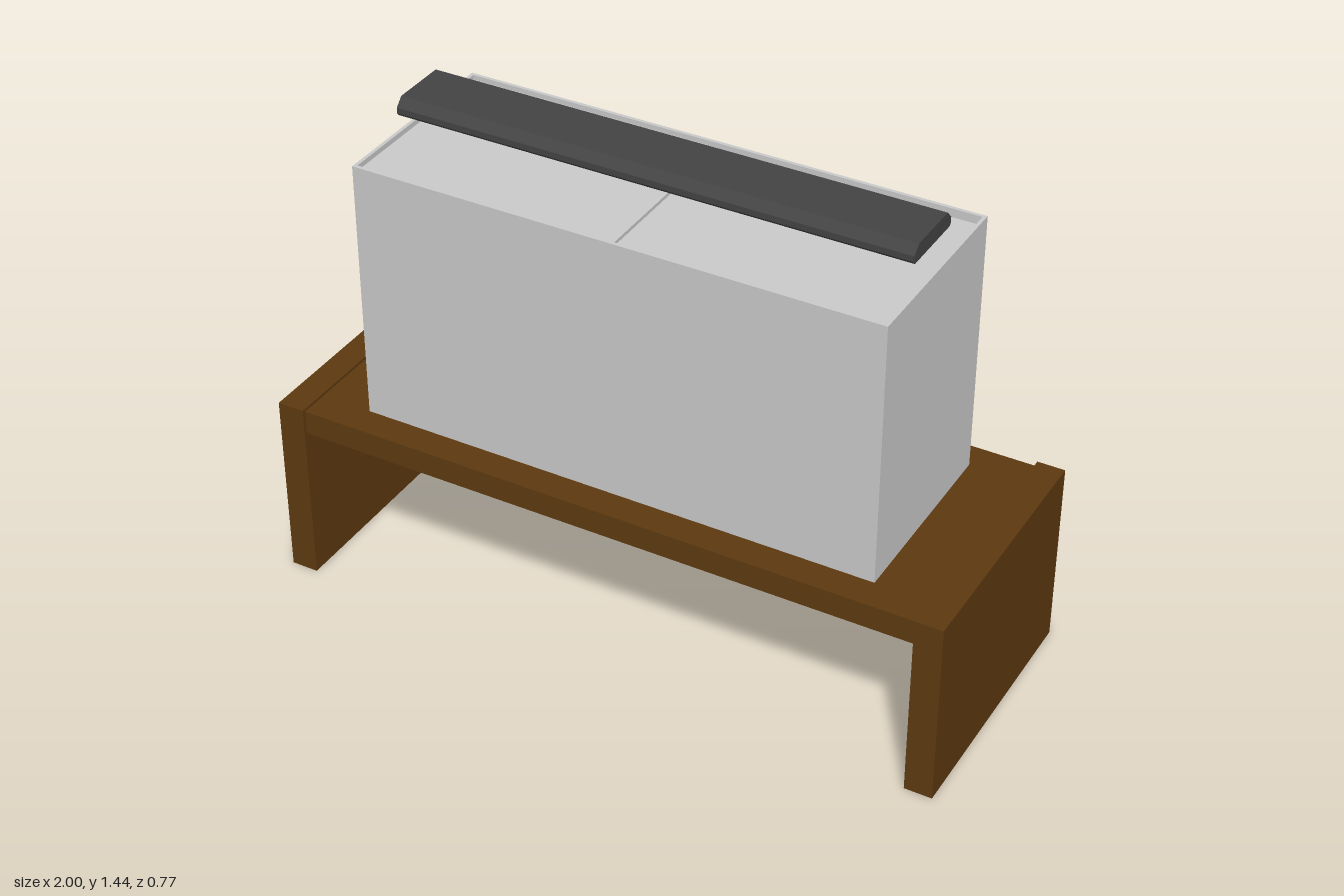
import * as THREE from 'three';

export function createModel() {
  const model = new THREE.Group();
  const wood = new THREE.MeshStandardMaterial({ color: 0x5e3a10 });
  const grey = new THREE.MeshStandardMaterial({ color: 0xcccccc });
  const dark = new THREE.MeshStandardMaterial({ color: 0x444444 });
  const black = new THREE.MeshStandardMaterial({ color: 0x111111 });

  // Box given by its lower and upper corners
  function box(parent, name, material, [x0, y0, z0], [x1, y1, z1]) {
    const mesh = new THREE.Mesh(new THREE.BoxGeometry(x1 - x0, y1 - y0, z1 - z0), material);
    mesh.position.set((x0 + x1) / 2, (y0 + y1) / 2, (z0 + z1) / 2);
    mesh.name = name;
    parent.add(mesh);
    return mesh;
  }
  function group(name) {
    const g = new THREE.Group();
    g.name = name;
    model.add(g);
    return g;
  }

  // Bench: a thick board between two upright side panels
  const bench = group('bench');
  box(bench, 'benchTop', wood, [-0.92, 0.475, -0.373], [0.92, 0.547, 0.373]);
  box(bench, 'rightSidePanel', wood, [-1, 0, -0.383], [-0.92, 0.555, 0.383]);
  box(bench, 'leftSidePanel', wood, [0.92, 0, -0.383], [1, 0.555, 0.383]);

  // Glass tank: floor and four thin panes, open at the top
  const tank = group('tank');
  const X = 0.765, Z = 0.288, T = 0.01, Y0 = 0.55, Y1 = 1.323;
  box(tank, 'tankFloor', grey, [-X, Y0, -Z], [X, Y0 + T, Z]);
  for (const s of [-1, 1]) {
    const end = s * (X - T / 2), face = s * (Z - T / 2);
    box(tank, s < 0 ? 'rightPane' : 'leftPane', grey,
      [end - T / 2, Y0 + T, -Z], [end + T / 2, Y1, Z]);
    box(tank, s < 0 ? 'backPane' : 'frontPane', grey,
      [-X + T, Y0 + T, face - T / 2], [X - T, Y1, face + T / 2]);
    // Runner that carries the sliding covers
    const rail = s * (Z - T - 0.012);
    box(tank, s < 0 ? 'backRunner' : 'frontRunner', grey,
      [-0.65, 1.279, rail - 0.012], [0.65, 1.289, rail + 0.012]);
  }

  // Two sliding covers, one a step above the other
  box(tank, 'lowerCover', grey, [-0.02, 1.289, -0.276], [0.753, 1.299, 0.268]);
  box(tank, 'upperCover', grey, [-0.753, 1.3, -0.276], [0, 1.31, 0.268]);

  // Lamp: bevelled housing, hollow underneath, closed by end caps
  const lamp = group('lamp');
  const outer = [[-0.1, 1.388], [-0.105, 1.395], [-0.105, 1.412], [-0.082, 1.436],
    [0.082, 1.436], [0.105, 1.412], [0.105, 1.395], [0.1, 1.388]];
  const hollow = [[0.083, 1.388], [0.083, 1.41], [-0.083, 1.41], [-0.083, 1.388]];
  function extrusion(name, points, x, length) {
    // Profile x runs along -z once turned so that the extrusion follows +x
    const shape = new THREE.Shape(points.map(([z, y]) => new THREE.Vector2(z, y)));
    const geometry = new THREE.ExtrudeGeometry(shape, { depth: length, bevelEnabled: false });
    geometry.rotateY(Math.PI / 2).translate(x, 0, 0);
    const mesh = new THREE.Mesh(geometry, dark);
    mesh.name = name;
    lamp.add(mesh);
  }
  extrusion('lampHousing', [...outer, ...hollow], -0.728, 1.456);
  extrusion('rightEndCap', outer, -0.743, 0.015);
  extrusion('leftEndCap', outer, 0.728, 0.015);
  box(lamp, 'lampPanel', black, [-0.728, 1.404, -0.083], [0.728, 1.411, 0.083]);

  return model;
}
